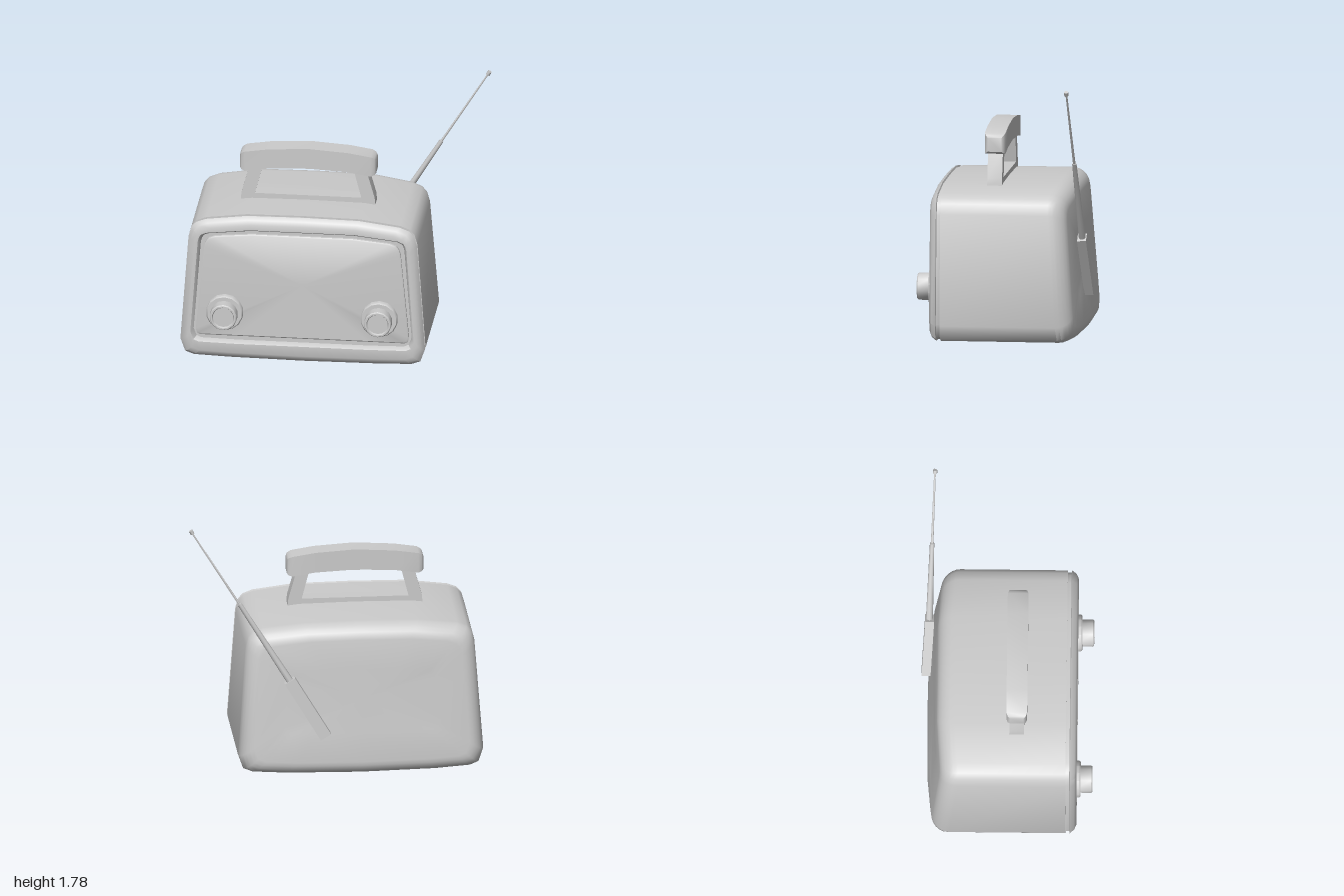
import * as THREE from 'three';
import { toCreasedNormals } from 'three/addons/utils/BufferGeometryUtils.js';

const CX = -0.173; // middle of the cabinet
const material = new THREE.MeshStandardMaterial({ color: 0xcccccc });

function part(name, geometry, crease = 0.6) {
  const mesh = new THREE.Mesh(toCreasedNormals(geometry, crease), material);
  mesh.name = name;
  return mesh;
}

// Skin closed rings of [x, y, z] points, capping the ends on request
function loft(rings, capStart, capEnd) {
  const n = rings[0].length;
  const pos = rings.flat(2);
  const index = [];
  for (let r = 0; r < rings.length - 1; r++) {
    for (let i = 0; i < n; i++) {
      const a = r * n + i, b = r * n + (i + 1) % n;
      index.push(a, a + n, b + n, a, b + n, b);
    }
  }
  const cap = (r, flip) => {
    const c = pos.length / 3;
    for (let k = 0; k < 3; k++) pos.push(rings[r].reduce((s, p) => s + p[k], 0) / n);
    for (let i = 0; i < n; i++) {
      const a = r * n + i, b = r * n + (i + 1) % n;
      index.push(c, flip ? b : a, flip ? a : b);
    }
  };
  if (capStart) cap(0, false);
  if (capEnd) cap(rings.length - 1, true);
  const g = new THREE.BufferGeometry();
  g.setAttribute('position', new THREE.Float32BufferAttribute(pos, 3));
  g.setIndex(index);
  g.computeVertexNormals();
  return g;
}

// Right half of an outline (bottom to top), mirrored to a closed loop
const mirror = (half) => [...half, ...half.slice(1, -1).reverse().map(([x, y]) => [-x, y])];

const outline = mirror([[0, 0.005], [0.5, 0.01], [0.735, 0.018], [0.795, 0.04], [0.827, 0.13],
  [0.772, 0.88], [0.752, 0.95], [0.72, 0.985], [0.655, 1.01], [0.38, 1.045], [0, 1.05]]);
const opening = mirror([[0, 0.125], [0.45, 0.125], [0.7, 0.13], [0.735, 0.145], [0.755, 0.2],
  [0.705, 0.86], [0.697, 0.89], [0.685, 0.91], [0.65, 0.927], [0.35, 0.96], [0, 0.96]]);
const panel = mirror([[0, 0.175], [0.45, 0.175], [0.69, 0.175], [0.712, 0.185], [0.72, 0.215],
  [0.663, 0.82], [0.652, 0.855], [0.635, 0.88], [0.59, 0.897], [0.34, 0.92], [0, 0.92]]);

// Outline shrunk by an inset around its middle; z is a number or a rule of x, y
function ring(points, inset, z) {
  return points.map(([px, py]) => {
    const x = px * (1 - inset / 0.82), y = 0.525 + (py - 0.525) * (1 - inset / 0.52);
    return [x + CX, y, typeof z === 'number' ? z : z(x, y)];
  });
}

// Leaning back wall, bowed towards the sides
const backZ = (x, y) => -0.54 + 0.08 * (y - 0.05) + 0.035 * Math.max(0, (Math.abs(x) - 0.38) / 0.36);

function cabinet() {
  const rings = [ring(outline, 0.012, 0.44), ring(outline, 0.012, 0.4), ring(outline, 0, 0.4)];
  const radius = 0.11;
  for (let i = 0; i <= 6; i++) {
    const a = (i / 6) * Math.PI / 2;
    rings.push(ring(outline, radius * (1 - Math.cos(a)) * 0.9,
      (x, y) => backZ(x, y) + radius * (1 - Math.sin(a))));
  }
  rings.push(ring(outline, 0.3, backZ));
  return part('cabinet', loft(rings, false, true), 0.9);
}

function bezel() {
  return part('bezel', loft([
    ring(opening, 0.02, 0.435),
    ring(opening, 0.012, 0.46),
    ring(opening, 0, 0.475),
    ring(outline, 0.05, 0.475),
    ring(outline, 0.02, 0.46),
    ring(outline, 0, 0.43),
    ring(outline, 0.014, 0.425),
  ], true, false));
}

function frontPanel() {
  return part('frontPanel', loft([ring(panel, 0.012, 0.458), ring(panel, 0, 0.452), ring(panel, 0, 0.43)], true, false));
}

function knob(x) {
  const profile = [[0.125, 0.44], [0.125, 0.49], [0.118, 0.5], [0.092, 0.5], [0.092, 0.572],
    [0.086, 0.58], [0.076, 0.58], [0.07, 0.568], [0, 0.568]];
  const g = new THREE.LatheGeometry(profile.map(([r, h]) => new THREE.Vector2(r, h)), 14);
  g.rotateX(Math.PI / 2);
  const mesh = part('knob', g);
  mesh.position.set(x, 0.355, 0);
  return mesh;
}

// Grip: square sections swept along a shallow arch
function grip() {
  const half = [[0.46, 1.313, 0.047, 0.047], [0.45, 1.315, 0.06, 0.06], [0.425, 1.318, 0.07, 0.07],
    [0.27, 1.342, 0.07, 0.07], [0, 1.357, 0.072, 0.07]];
  const sections = [...half, ...half.slice(0, -1).reverse().map(([x, ...s]) => [-x, ...s])];
  const rings = sections.map(([x, y, hy, hz]) =>
    [[-1, -1], [1, -1], [1, 1], [-1, 1]].map(([u, v]) => [x + CX, y + v * hy, 0.07 - u * hz]));
  return part('handleGrip', loft(rings, true, true), 0.7);
}

// Open frame joining the grip to the cabinet
function handleFrame() {
  const toVec = ([x, y]) => new THREE.Vector2(x, y);
  const shape = new THREE.Shape([[-0.455, 1.03], [0.455, 1.03], [0.45, 1.085], [0.395, 1.28],
    [-0.395, 1.28], [-0.45, 1.085]].map(toVec));
  shape.holes.push(new THREE.Path([[-0.36, 1.082], [-0.31, 1.275], [0.31, 1.275], [0.36, 1.082]].map(toVec)));
  const g = new THREE.ExtrudeGeometry(shape, { depth: 0.1, bevelEnabled: false });
  g.translate(CX, 0, 0.02);
  return part('handleFrame', g);
}

// Straight tapered piece between two points
function rod(name, from, to, r0, r1, sides, flatten = 1) {
  const a = new THREE.Vector3(...from), b = new THREE.Vector3(...to);
  const g = new THREE.CylinderGeometry(r1, r0, a.distanceTo(b), sides);
  if (sides === 4) g.rotateY(Math.PI / 4);
  g.scale(1, 1, flatten);
  const mesh = part(name, g, sides === 4 ? 0.6 : 1.1);
  mesh.position.copy(a).add(b).multiplyScalar(0.5);
  mesh.quaternion.setFromUnitVectors(new THREE.Vector3(0, 1, 0), b.sub(a).normalize());
  return mesh;
}

function antenna() {
  const group = new THREE.Group();
  group.name = 'antenna';
  group.add(
    rod('antennaBase', [0.077, 0.3, -0.547], [0.318, 0.7, -0.525], 0.057, 0.057, 4, 0.75),
    rod('antennaLowerRod', [0.312, 0.69, -0.527], [0.655, 1.25, -0.513], 0.024, 0.015, 8),
    rod('antennaUpperRod', [0.65, 1.24, -0.513], [0.975, 1.765, -0.497], 0.009, 0.006, 6),
    rod('antennaTip', [0.97, 1.757, -0.497], [0.984, 1.78, -0.496], 0.015, 0.015, 6),
  );
  return group;
}

export function createModel() {
  const model = new THREE.Group();
  model.name = 'portableRadio';
  model.add(cabinet(), bezel(), frontPanel(), grip(), handleFrame(), antenna());
  for (const side of [-1, 1]) model.add(knob(CX + side * 0.522));
  return model;
}
